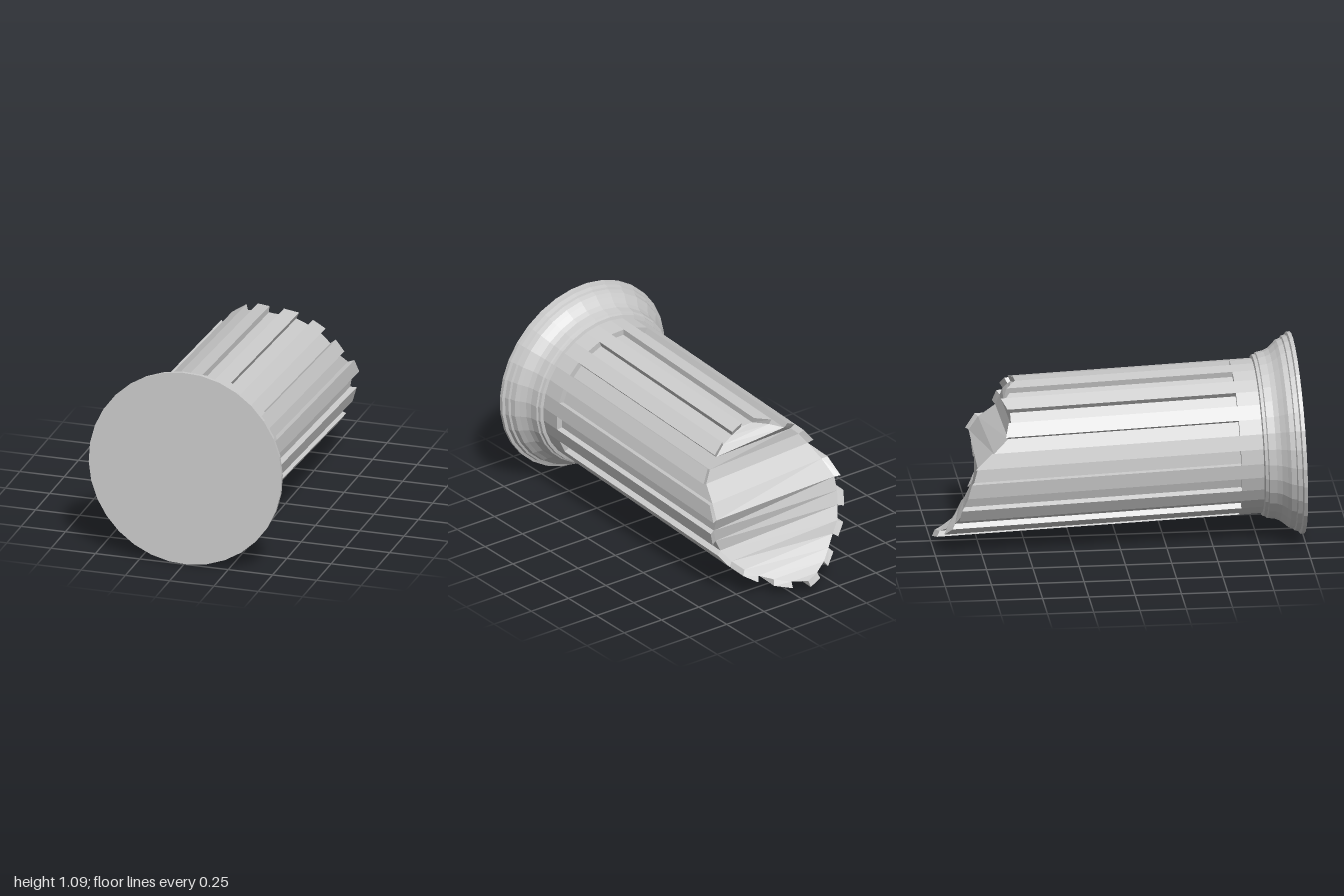
import * as THREE from 'three';

const SIDES = 32, STEP = (Math.PI * 2) / SIDES, ROLL = -0.044;
const R = 0.418, FLOOR = 0.386;            // shaft radius, flute floor radius
const FLUTE_START = 0.342;                 // distance from the base disc
const TILT = 0.041, BASE_Y = 0.545, BASE_Z = 0.978;

// Depth of the broken edge around the shaft, clockwise from the top
const RIM = [
  -0.55, -0.55, -0.57, -0.58, -0.60, -0.61, -0.63, -0.72,
  -0.77, -0.74, -0.73, -0.73, -0.77, -0.81, -0.85, -0.89,
  -0.95, -1.00, -0.98, -0.95, -0.91, -0.88, -0.87, -0.84,
  -0.82, -0.80, -0.71, -0.63, -0.61, -0.61, -0.64, -0.60,
];

const material = new THREE.MeshStandardMaterial({ color: 0xcccccc, flatShading: true });

// Point on the column: side index, radius, distance along the axis
function at(j, r, s) {
  const a = ROLL + j * STEP;
  return [r * Math.sin(a), s, r * Math.cos(a)];
}

// Point on the broken edge
function rimPoint(j, r, chip = 0) {
  const k = (j + SIDES) % SIDES;
  const a = ROLL + k * STEP;
  const s = (BASE_Z - RIM[k] - r * Math.cos(a) * Math.sin(TILT)) / Math.cos(TILT);
  return at(k, r, s - chip);
}
const outer = (j) => rimPoint(j, R);
const inner = (j) => rimPoint(j, FLOOR, 0.015);

function quadMesh(name, quads) {
  const pos = [];
  for (const [a, b, c, d] of quads) pos.push(...a, ...b, ...c, ...a, ...c, ...d);
  const g = new THREE.BufferGeometry();
  g.setAttribute('position', new THREE.Float32BufferAttribute(pos, 3));
  g.computeVertexNormals();
  const mesh = new THREE.Mesh(g, material);
  mesh.name = name;
  return mesh;
}

export function createModel() {
  const column = new THREE.Group();
  column.name = 'brokenColumn';

  // Moulded base and the plain collar of the shaft
  const profile = [
    [0, 0], [0.545, 0], [0.545, 0.02], [0.53, 0.026], [0.525, 0.05],
    [0.514, 0.055], [0.506, 0.082], [0.488, 0.1], [0.465, 0.128], [0.453, 0.155],
    [0.447, 0.195], [0.438, 0.2], [0.435, 0.216], [R, 0.221], [R, FLUTE_START],
  ].map(([r, s]) => new THREE.Vector2(r, s));
  const base = new THREE.Mesh(new THREE.LatheGeometry(profile, SIDES, ROLL), material);
  base.name = 'mouldedBase';
  column.add(base);

  // Shaft: sides alternate between sunken flutes and raised ribs
  const flutes = [], ribs = [];
  const low = (j, r) => at(j, r, FLUTE_START);
  for (let j = 0; j < SIDES; j++) {
    const k = j + 1;
    if (j % 2 === 0) {
      flutes.push(
        [low(j, FLOOR), low(k, FLOOR), inner(k), inner(j)],
        [low(j, R), low(j, FLOOR), inner(j), outer(j)],
        [low(k, FLOOR), low(k, R), outer(k), inner(k)],
        [low(j, R), low(k, R), low(k, FLOOR), low(j, FLOOR)],
      );
    } else {
      ribs.push(
        [low(j, R), low(k, R), outer(k), outer(j)],
        [outer(j), outer(k), inner(k), inner(j)],
      );
    }
  }
  column.add(quadMesh('flutes', flutes), quadMesh('ribs', ribs));

  // Broken face: bands running from one side of the edge to the other
  const bands = [];
  for (let i = 1; i < SIDES / 2; i++) {
    bands.push([inner(1 - i), inner(i), inner(i + 1), inner(-i)]);
  }
  column.add(quadMesh('brokenFace', bands));

  // Lay the column down with its base to the front
  column.rotation.x = -(Math.PI / 2 + TILT);
  column.position.set(0, BASE_Y, BASE_Z);

  const model = new THREE.Group();
  model.name = 'fallenColumn';
  model.add(column);
  return model;
}
